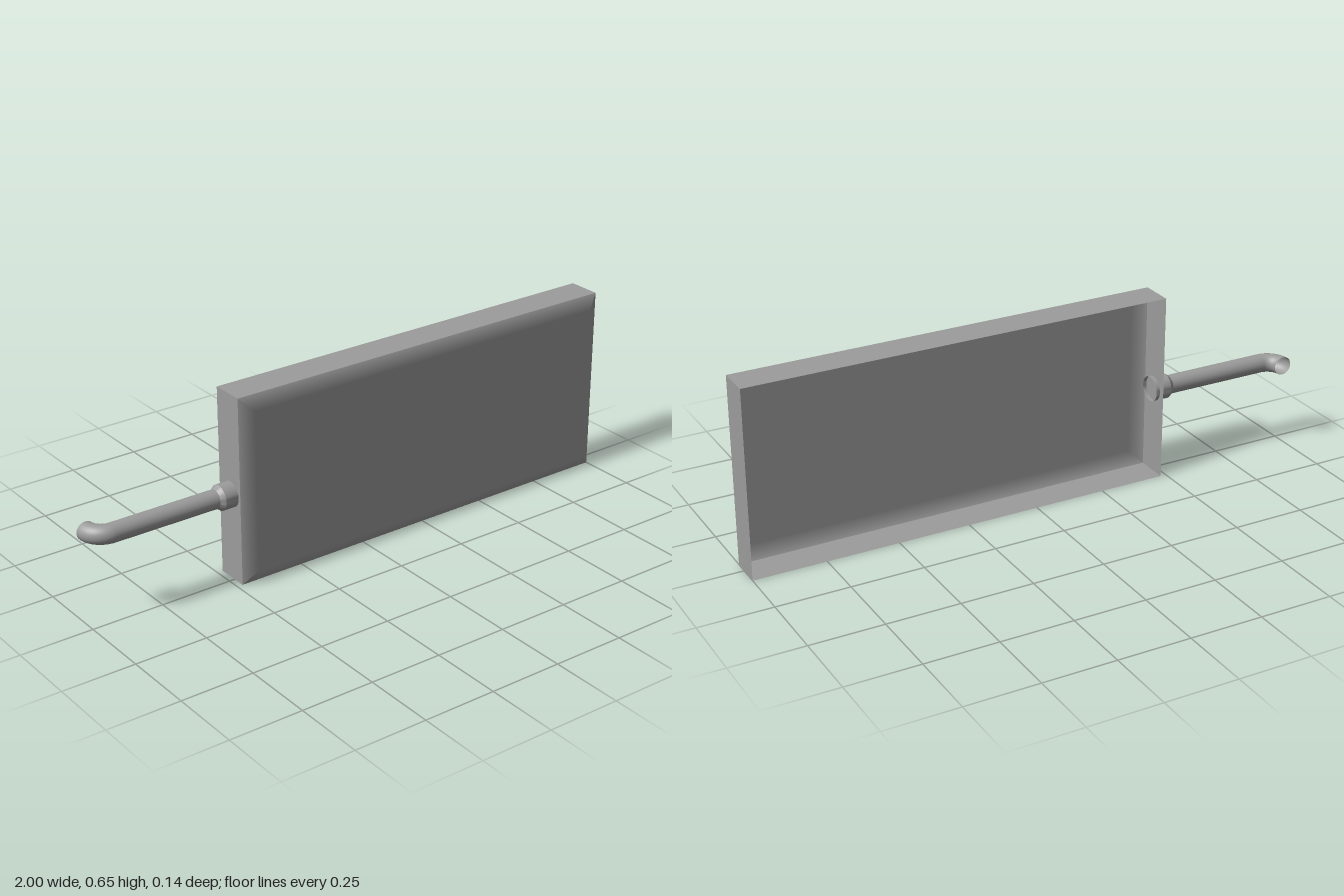
import * as THREE from 'three';
import { toCreasedNormals } from 'three/addons/utils/BufferGeometryUtils.js';

const grey = new THREE.MeshStandardMaterial({ color: 0x9c9c9c, side: THREE.DoubleSide });

function addPart(group, name, geometry) {
  const mesh = new THREE.Mesh(geometry, grey);
  mesh.name = name;
  group.add(mesh);
}

// Corners of a rectangle, counter-clockwise from the front
function ring(x0, x1, y0, y1, inset, z) {
  return [
    [x0 + inset, y0 + inset, z], [x1 - inset, y0 + inset, z],
    [x1 - inset, y1 - inset, z], [x0 + inset, y1 - inset, z]
  ];
}

// Open-backed tray: flat walls and front, bevels shaded softly into the front
function trayGeometry(x0, x1, y0, y1) {
  const inset = 0.046, lipZ = 0.045, frontZ = 0.07;
  const back = ring(x0, x1, y0, y1, 0, -0.07);
  const lip = ring(x0, x1, y0, y1, 0, lipZ);
  const front = ring(x0, x1, y0, y1, inset, frontZ);
  const positions = [], normals = [], index = [];

  // The first two corners take normal n0, the last two n1
  function quad(corners, n0, n1) {
    const s = positions.length / 3;
    positions.push(...corners.flat());
    normals.push(...n0, ...n0, ...n1, ...n1);
    index.push(s, s + 1, s + 2, s, s + 2, s + 3);
  }

  const forward = [0, 0, 1];
  const outward = [[0, -1], [1, 0], [0, 1], [-1, 0]];
  const slope = Math.atan2(inset, frontZ - lipZ);
  outward.forEach(([nx, ny], i) => {
    const j = (i + 1) % 4;
    const c = Math.cos(slope);
    const bevel = [nx * c, ny * c, Math.sin(slope)];
    quad([back[i], back[j], lip[j], lip[i]], [nx, ny, 0], [nx, ny, 0]);
    quad([lip[i], lip[j], front[j], front[i]], bevel, forward);
  });
  quad(front, forward, forward);

  const geometry = new THREE.BufferGeometry();
  geometry.setAttribute('position', new THREE.Float32BufferAttribute(positions, 3));
  geometry.setAttribute('normal', new THREE.Float32BufferAttribute(normals, 3));
  geometry.setIndex(index);
  return geometry;
}

export function createModel() {
  const model = new THREE.Group();
  model.name = 'trayWithPipe';

  const wallX = -0.48, pipeY = 0.303, pipeZ = -0.007;
  const pipeR = 0.032, bendR = 0.058, bendX = -0.91;

  // Hollow panel with a bevelled front and open back
  addPart(model, 'panelShell', trayGeometry(wallX, 1, 0, 0.648));

  // Collar through the side wall, tapering on to the pipe
  const profile = [[pipeR, -0.54], [0.043, -0.525], [0.043, -0.467]]
    .map(([r, x]) => new THREE.Vector2(r, x));
  const collar = toCreasedNormals(new THREE.LatheGeometry(profile, 32), 0.4);
  collar.rotateZ(-Math.PI / 2).translate(0, pipeY, pipeZ);
  addPart(model, 'pipeCollar', collar);

  // Straight pipe
  const length = wallX - bendX;
  const pipe = new THREE.CylinderGeometry(pipeR, pipeR, length, 32, 1, true);
  pipe.rotateZ(Math.PI / 2).translate(bendX + length / 2, pipeY, pipeZ);
  addPart(model, 'pipe', pipe);

  // Quarter bend with an open end facing backwards
  const elbow = new THREE.TorusGeometry(bendR, pipeR, 32, 12, Math.PI / 2);
  elbow.rotateZ(Math.PI / 2).rotateX(Math.PI / 2).translate(bendX, pipeY, pipeZ - bendR);
  addPart(model, 'pipeElbow', elbow);

  return model;
}
